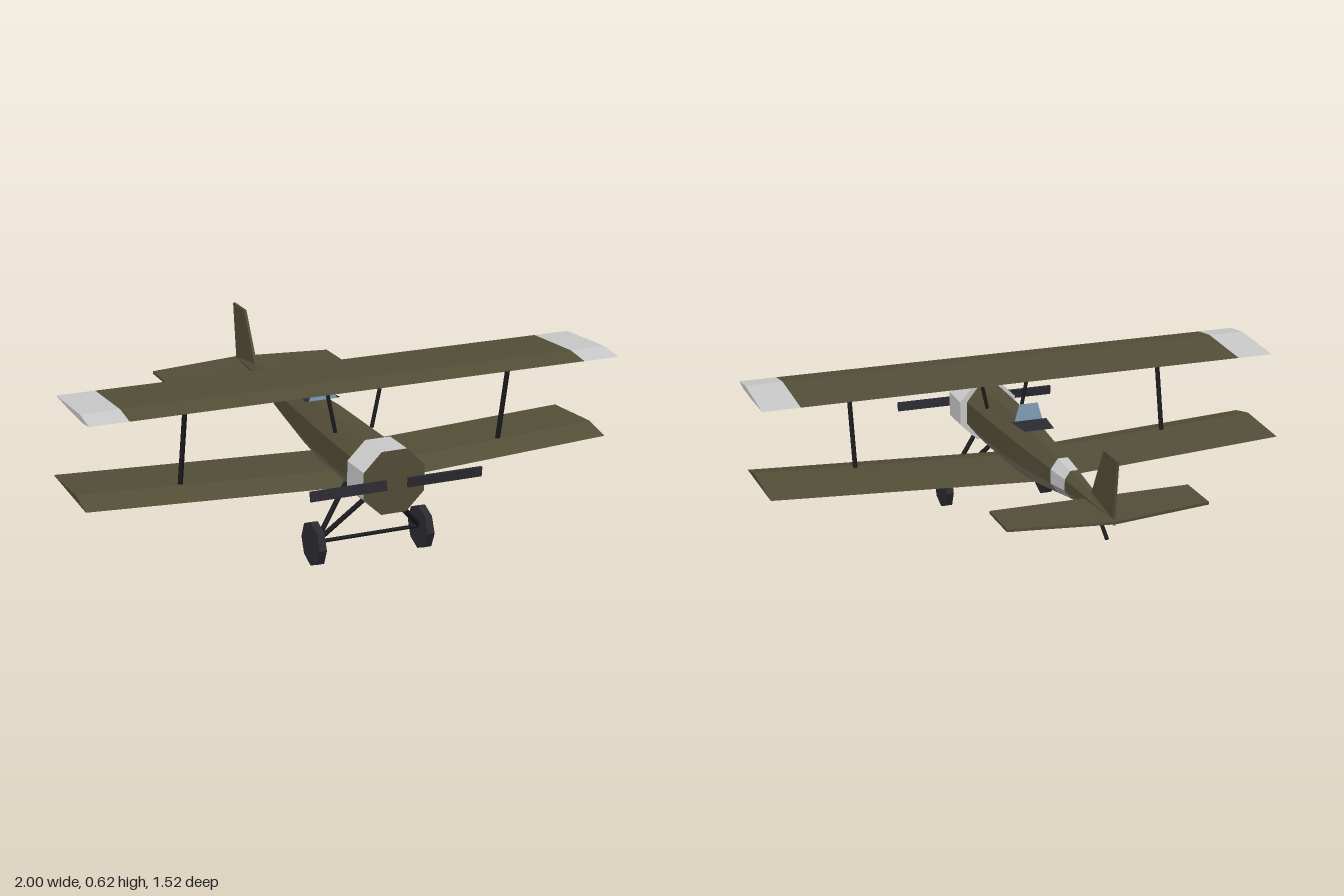
import * as THREE from 'three';

const mat = (color) => new THREE.MeshStandardMaterial({ color, flatShading: true, side: THREE.DoubleSide });

// Skin over rings of [x, y, z] points; each ring runs counter-clockwise seen from the first end.
function loft(rings) {
  const n = rings[0].length, idx = [];
  rings.slice(1).forEach((_, i) => {
    for (let j = 0; j < n; j++) {
      const a = i * n + j, b = i * n + (j + 1) % n;
      idx.push(a, a + n, b, b, a + n, b + n);
    }
  });
  const last = (rings.length - 1) * n;
  for (let j = 1; j < n - 1; j++) idx.push(0, j, j + 1, last, last + j + 1, last + j);
  const g = new THREE.BufferGeometry();
  g.setAttribute('position', new THREE.Float32BufferAttribute(rings.flat(2), 3));
  g.setIndex(idx);
  g.computeVertexNormals();
  return g;
}

export function createModel() {
  const model = new THREE.Group();
  const olive = mat(0x544f38), tan = mat(0x968c78), grey = mat(0xcccccc);
  const dark = mat(0x2b2b32), black = mat(0x1c1c20), glass = mat(0x86a3bd);

  const add = (name, geo, material, x = 0, y = 0, z = 0) => {
    const m = new THREE.Mesh(geo, material);
    m.name = name;
    m.position.set(x, y, z);
    model.add(m);
    return m;
  };
  const rod = (name, from, to, r, material = black) => {
    const a = new THREE.Vector3(...from), b = new THREE.Vector3(...to);
    const m = add(name, new THREE.CylinderGeometry(r, r, a.distanceTo(b), 6), material);
    m.position.copy(a).add(b).multiplyScalar(0.5);
    m.quaternion.setFromUnitVectors(new THREE.Vector3(0, 1, 0), b.sub(a).normalize());
  };

  // Fuselage stations: z, half width, top, bottom
  const stations = [
    [0.70, 0.088, 0.455, 0.24], [0.59, 0.086, 0.455, 0.24], [0.2, 0.074, 0.46, 0.243], [0, 0.062, 0.452, 0.265],
    [-0.24, 0.046, 0.435, 0.305], [-0.355, 0.036, 0.427, 0.325], [-0.735, 0.005, 0.388, 0.36],
  ];
  // Octagonal section split into an upper body and a belly
  const section = ([z, w, top, bottom], belly) => {
    const cy = (top + bottom) / 2, h = (top - bottom) / 2, k = 0.414;
    const pts = belly
      ? [[-1, -k], [-k, -1], [k, -1], [1, -k]]
      : [[1, -k], [1, k], [k, 1], [-k, 1], [-1, k], [-1, -k]];
    return pts.map(([x, y]) => [x * w, cy + y * h, z]);
  };
  [['nose', 0, 4], ['tailBand', 4, 5], ['tail', 5, 6]].forEach(([name, from, to]) => {
    const part = stations.slice(from, to + 1), band = name === 'tailBand';
    add(name + 'Body', loft(part.map((s) => section(s, false))), band ? grey : olive);
    add(name + 'Belly', loft(part.map((s) => section(s, true))), band ? grey : tan);
  });

  // Engine cowl with a flat front
  const cowl = new THREE.CylinderGeometry(0.123, 0.123, 0.135, 8, 1, false, Math.PI / 8).rotateX(Math.PI / 2);
  add('cowl', cowl, [grey, olive, grey], 0, 0.349, 0.6575);

  // Propeller blades
  for (const s of [1, -1]) {
    const blade = add('propellerBlade', new THREE.BoxGeometry(0.28, 0.035, 0.01), dark, s * 0.18, 0.35, 0.75);
    blade.rotation.x = s * 0.12;
  }

  // Wing sections: z, y from trailing edge over the top and back underneath
  const upper = [[0.13, 0.607], [0.4, 0.622], [0.5, 0.609], [0.43, 0.6], [0.3, 0.6]];
  const lower = [[0.06, 0.294], [0.32, 0.309], [0.43, 0.284], [0.32, 0.287]];
  const ring = (profile, x, dy = 0) => profile.map(([z, y]) => [x, y + dy, z]);
  add('upperWing', loft([ring(upper, 0.86), ring(upper, -0.86)]), olive);
  add('upperWingTipLeft', loft([ring(upper, 1), ring(upper, 0.86)]), grey);
  add('upperWingTipRight', loft([ring(upper, -0.86), ring(upper, -1)]), grey);
  const root = ring(lower, 0, -0.051);
  root[0][2] = 0.045;
  add('lowerWing', loft([ring(lower, 1), root, ring(lower, -1)]), olive);

  // Mirrored struts, undercarriage legs and wheels
  for (const s of [1, -1]) {
    rod('wingStrut', [s * 0.62, 0.28, 0.305], [s * 0.62, 0.605, 0.375], 0.009);
    rod('cabaneStrut', [s * 0.07, 0.43, 0.39], [s * 0.107, 0.605, 0.39], 0.007);
    rod('frontLeg', [s * 0.2, 0.085, 0.52], [s * 0.05, 0.255, 0.602], 0.009);
    rod('rearLeg', [s * 0.2, 0.085, 0.52], [s * 0.05, 0.255, 0.438], 0.009);
    const tyre = new THREE.CylinderGeometry(0.081, 0.081, 0.027, 8).rotateZ(Math.PI / 2);
    add('wheel', tyre, dark, s * 0.207, 0.081, 0.52);
  }
  rod('axle', [-0.2, 0.085, 0.52], [0.2, 0.085, 0.52], 0.007);

  // Cockpit opening and windscreen
  const panel = (pts) => new THREE.ShapeGeometry(new THREE.Shape(pts.map((p) => new THREE.Vector2(...p))));
  const opening = panel([[-0.07, -0.12], [0.07, -0.12], [0.057, 0], [-0.057, 0]]).rotateX(-Math.PI / 2);
  add('cockpitOpening', opening, dark, 0, 0.461, 0);
  add('windscreen', panel([[-0.055, 0.46], [0.055, 0.46], [0.036, 0.526], [-0.036, 0.526]]), glass, 0, 0, 0.12);

  // Tail surfaces
  const plate = (pts, depth) => new THREE.ExtrudeGeometry(
    new THREE.Shape(pts.map((p) => new THREE.Vector2(...p))), { depth, bevelEnabled: false },
  ).translate(0, 0, -depth / 2);
  const tailplane = plate([[-0.37, 0.51], [0.37, 0.51], [0.37, 0.69], [0, 0.75], [-0.37, 0.69]], 0.01);
  add('tailplane', tailplane.rotateX(-Math.PI / 2), olive, 0, 0.376, 0);
  const fin = plate([[0.53, 0.405], [0.56, 0.385], [0.73, 0.385], [0.758, 0.6], [0.64, 0.6]], 0.01);
  add('tailFin', fin.rotateY(Math.PI / 2), olive);
  rod('tailSkid', [0, 0.345, -0.585], [0, 0.286, -0.668], 0.007);

  return model;
}
